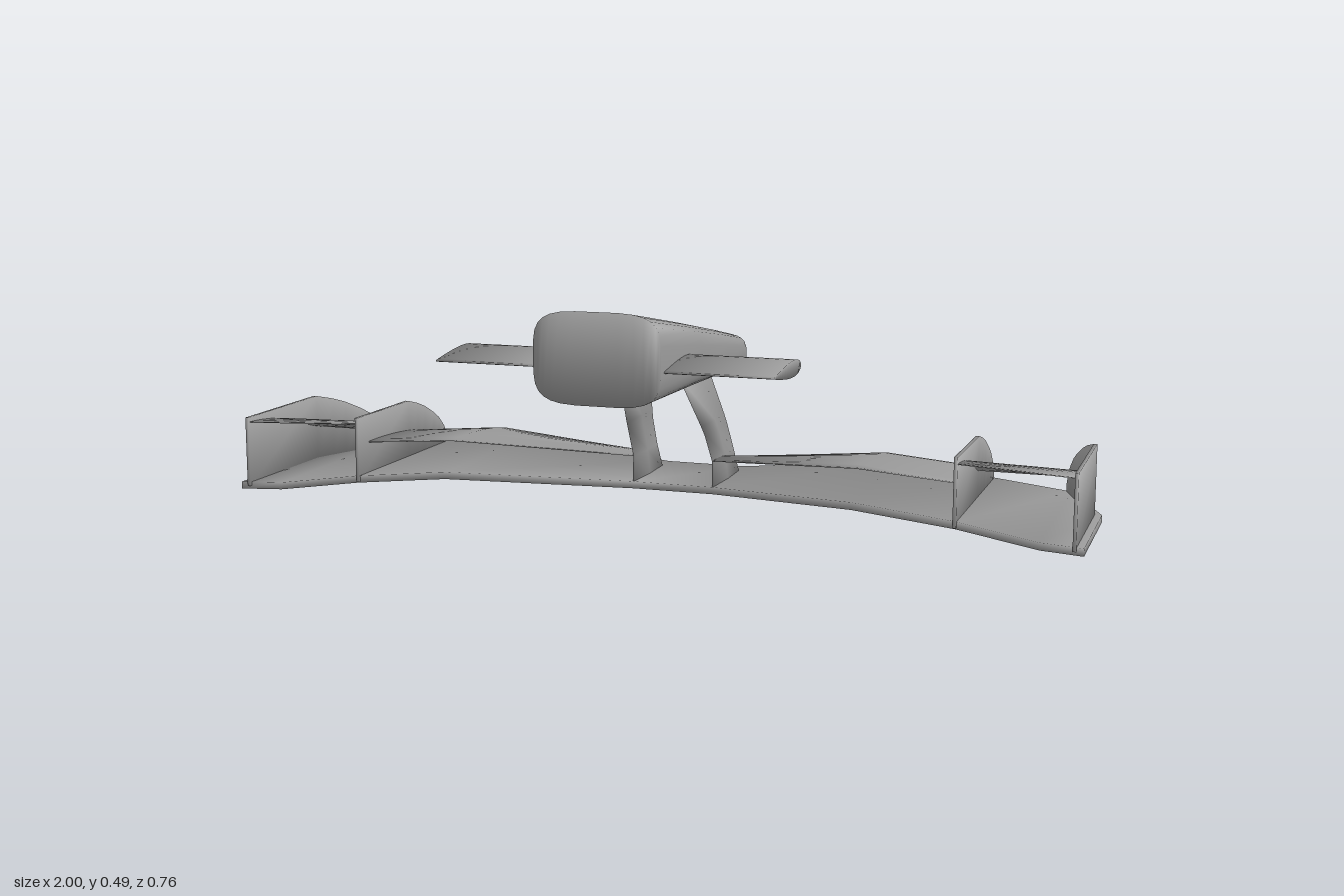
import * as THREE from 'three';
import { toCreasedNormals } from 'three/addons/utils/BufferGeometryUtils.js';

const material = new THREE.MeshStandardMaterial({ color: 0x999999, side: THREE.DoubleSide });

// Skin a list of equal loops (even point count), close both ends and smooth all edges.
function loft(name, loops) {
  const n = loops[0].length, last = loops.length - 1, index = [];
  const quad = (a, b, c, d) => index.push(a, b, c, a, c, d);
  for (let s = 0; s < last; s++) {
    for (let i = 0; i < n; i++) {
      const j = (i + 1) % n;
      quad(s * n + i, s * n + j, (s + 1) * n + j, (s + 1) * n + i);
    }
  }
  for (let i = 0; i < n / 2 - 1; i++) {
    const j = n - 1 - i, e = last * n;
    quad(i, j, j - 1, i + 1);
    quad(e + i, e + i + 1, e + j - 1, e + j);
  }
  // Turn the faces outward if the enclosed volume is negative.
  const points = loops.flat().map((p) => new THREE.Vector3(...p));
  let volume = 0;
  for (let i = 0; i < index.length; i += 3) {
    const [a, b, c] = [0, 1, 2].map((k) => points[index[i + k]]);
    volume += a.dot(b.clone().cross(c));
  }
  if (volume < 0) index.reverse();
  const geometry = new THREE.BufferGeometry().setFromPoints(points);
  geometry.setIndex(index);
  const mesh = new THREE.Mesh(toCreasedNormals(geometry, 2.6), material);
  mesh.name = name;
  return mesh;
}

// Cambered blade section at x, from its leading to its trailing edge.
function bladeSection(x, z0, y0, z1, y1, thick, camber) {
  const top = [], bottom = [], steps = 10;
  for (let i = 0; i <= steps; i++) {
    const t = i / steps;
    const z = z0 + (z1 - z0) * t;
    const y = y0 + (y1 - y0) * t + camber * 4 * t * (1 - t);
    const h = thick * (0.3 + 0.7 * Math.sin(Math.PI * Math.sqrt(t))) / 2;
    top.push([x, y + h, z]);
    bottom.unshift([x, y - h, z]);
  }
  return [...top, ...bottom];
}

// Upright plate; each station is [z, x, bottom, top].
function plate(name, stations, thick) {
  const h = thick / 2;
  return loft(name, stations.map(([z, x, b, t]) =>
    [[x - h, b, z], [x + h, b, z], [x + h, t, z], [x - h, t, z]]));
}

// Rounded, squared-off nose section.
function noseSection(z, halfWidth, bottom, top) {
  const loop = [], n = 28;
  const bulge = (v) => Math.sign(v) * Math.sqrt(Math.abs(v));
  for (let i = 0; i < n; i++) {
    const a = (i + 0.5) / n * Math.PI * 2;
    loop.push([halfWidth * bulge(Math.cos(a)),
      (top + bottom) / 2 + (top - bottom) / 2 * bulge(Math.sin(a)), z]);
  }
  return loop;
}

// Teardrop fin section at x.
function finSection(x) {
  const loop = [], n = 32;
  for (let i = 0; i < n; i++) {
    const a = (i + 0.5) / n * Math.PI * 2, t = (1 - Math.cos(a)) / 2;
    loop.push([x, 0.367 + 0.0255 * Math.sin(a) * (1 - 0.75 * t), 0.15 + 0.21 * t]);
  }
  return loop;
}

export function createModel() {
  const model = new THREE.Group();
  model.name = 'frontWingAndNose';

  // Gull-shaped main plane: [x, front z, rear z, bottom y]
  const half = [[0.1, -0.378, -0.115, 0.006], [0.49, -0.378, 0.11, 0.046], [0.72, -0.378, 0.11, 0.021],
    [0.905, -0.378, 0.153, 0], [1, -0.15, 0.176, 0]];
  const span = [...half.map(([x, ...r]) => [-x, ...r]).reverse(), ...half];
  model.add(loft('mainPlane', span.map(([x, f, r, y]) =>
    [[x, y, f], [x, y, r], [x, y + 0.017, r], [x, y + 0.017, f]])));

  // Nose cone, with a blunt sloping tip
  model.add(loft('noseCone', [
    [0.379, 0.145, 0.29, 0.492], [0.1, 0.143, 0.289, 0.443], [-0.1, 0.141, 0.287, 0.406],
    [-0.25, 0.139, 0.285, 0.376], [-0.27, 0.136, 0.284, 0.362], [-0.29, 0.129, 0.283, 0.324],
    [-0.302, 0.116, 0.284, 0.3],
  ].map((s) => noseSection(...s))));

  // Endplate top curve: [z, height]
  const crest = [[0.115, 0.179], [-0.15, 0.179], [-0.2, 0.166], [-0.24, 0.152], [-0.29, 0.128],
    [-0.32, 0.11], [-0.35, 0.083], [-0.365, 0.06], [-0.376, 0.036]];

  for (const side of [1, -1]) {
    const sideGroup = new THREE.Group();
    sideGroup.name = side > 0 ? 'leftSide' : 'rightSide';

    // Long flap above the main plane
    sideGroup.add(loft('flap', [
      bladeSection(side * 0.1, -0.27, 0.06, -0.12, 0.085, 0.008, 0.008),
      bladeSection(side * 0.49, -0.27, 0.1, 0.063, 0.13, 0.01, 0.008),
      bladeSection(side * 0.72, -0.27, 0.08, 0.063, 0.112, 0.01, 0.008),
    ]));

    // Short raised wing between the endplates
    sideGroup.add(loft('upperWing', [
      bladeSection(side * 0.72, -0.15, 0.1, 0.108, 0.163, 0.008, 0.012),
      bladeSection(side * 0.98, -0.15, 0.1, 0.17, 0.163, 0.008, 0.012),
    ]));

    // Inner endplate, and outer endplate that bends inward at its tip
    sideGroup.add(plate('innerEndplate',
      crest.map(([z, y]) => [z, side * 0.718, 0.024, y]), 0.008));
    const outer = [[0.176, 0.177], ...crest.slice(1)];
    sideGroup.add(plate('outerEndplate', outer.map(([z, y]) =>
      [z, side * (0.98 - Math.max(0, -0.15 - z) * 0.37), 0.008, y - 0.002]), 0.008));

    // Raked pylon, leaning inward towards the nose: [y, front z, rear z, x]
    sideGroup.add(loft('pylon', [
      [0.012, -0.33, -0.12, 0.1], [0.085, -0.282, -0.12, 0.099], [0.155, -0.24, -0.075, 0.095],
      [0.18, -0.226, -0.055, 0.092], [0.3, -0.156, 0.042, 0.074],
    ].map(([y, f, r, x]) => {
      const m = (f + r) / 2, at = (dx, z) => [side * x + dx, y, z];
      return [at(-0.002, f), at(0.002, f), at(0.006, m), at(0.002, r), at(-0.002, r), at(-0.006, m)];
    })));

    // Side fin
    sideGroup.add(loft('sideFin', [finSection(side * 0.12), finSection(side * 0.384)]));

    model.add(sideGroup);
  }
  return model;
}
